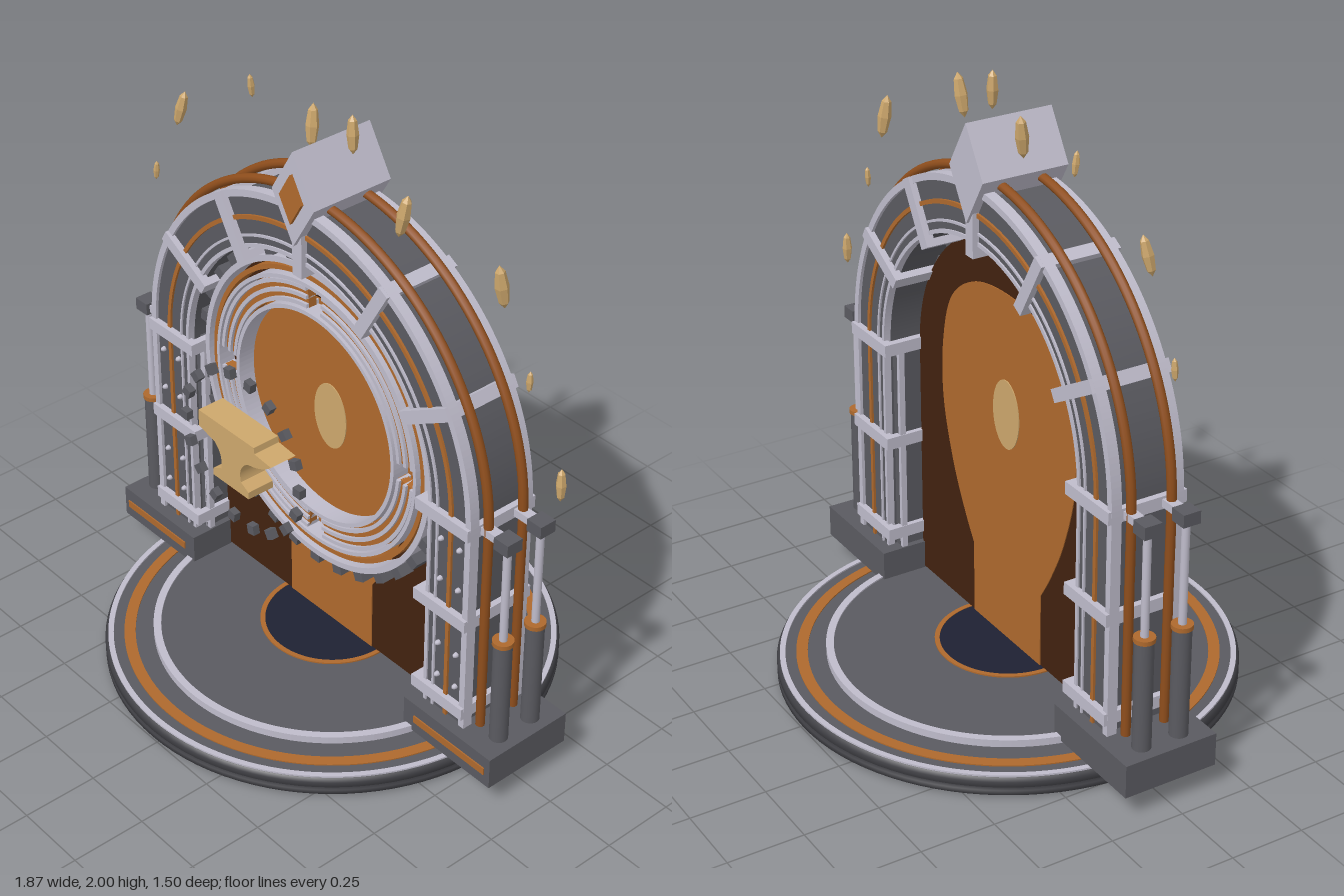
import * as THREE from 'three';

const mat = (name, color) => {
  const m = new THREE.MeshStandardMaterial({ color });
  m.name = name;
  return m;
};
const V2 = (x, y) => new THREE.Vector2(x, y);
const CY = 0.935; // height of the arch centre

export function createModel() {
  const iron = mat('iron grey', 0x5a5a60);
  const charcoal = mat('charcoal', 0x404045);
  const steel = mat('pale steel', 0xbfbccb);
  const copper = mat('copper', 0xae692d);
  const pipeCopper = mat('dark copper', 0x8f4e1c);
  const umber = mat('portal brown', 0x42220f);
  const gold = mat('pale gold', 0xcda76c);
  const navy = mat('navy', 0x1e2133);

  const root = new THREE.Group();
  root.name = 'forgePortal';
  root.position.x = -0.022;

  const add = (name, geo, m, x = 0, y = 0, z = 0, parent = root) => {
    const mesh = new THREE.Mesh(geo, m);
    mesh.name = name;
    mesh.position.set(x, y, z);
    parent.add(mesh);
    return mesh;
  };
  const box = (name, m, w, h, d, x, y, z, parent) =>
    add(name, new THREE.BoxGeometry(w, h, d), m, x, y, z, parent);
  const cyl = (name, m, r, y0, y1, x = 0, z = 0, seg = 20) =>
    add(name, new THREE.CylinderGeometry(r, r, y1 - y0, seg), m, x, (y0 + y1) / 2, z);
  // extrusion centred on z
  const slab = (name, m, shape, depth, y = 0, z = 0) => {
    const geo = new THREE.ExtrudeGeometry(shape, { depth, bevelEnabled: false, curveSegments: 64 });
    return add(name, geo, m, 0, y, z - depth / 2);
  };
  const ringShape = (r0, r1) => {
    const s = new THREE.Shape().absarc(0, 0, r1, 0, Math.PI * 2, false);
    s.holes.push(new THREE.Path().absarc(0, 0, r0, 0, Math.PI * 2, true));
    return s;
  };
  const flatRing = (name, m, r0, r1, y, h) => {
    const mesh = slab(name, m, ringShape(r0, r1), h);
    mesh.rotation.x = -Math.PI / 2;
    mesh.position.set(0, y, 0);
  };
  // strip running up one leg, over the arch and down the other
  const archShape = (r0, r1, y0) => {
    const s = new THREE.Shape();
    s.moveTo(r1, y0);
    s.lineTo(r1, CY);
    s.absarc(0, CY, r1, 0, Math.PI, false);
    s.lineTo(-r1, y0);
    s.lineTo(-r0, y0);
    s.lineTo(-r0, CY);
    s.absarc(0, CY, r0, Math.PI, 0, true);
    s.lineTo(r0, y0);
    return s;
  };

  // Round base
  const baseProfile = [[0, 0], [0.735, 0], [0.75, 0.008], [0.75, 0.024], [0.74, 0.03], [0.75, 0.036],
    [0.75, 0.054], [0.743, 0.066], [0.735, 0.066]].map(p => V2(...p));
  add('baseRim', new THREE.LatheGeometry(baseProfile, 96), charcoal);
  cyl('baseTop', iron, 0.738, 0.05, 0.067, 0, 0, 96);
  flatRing('baseEdgeRing', steel, 0.722, 0.74, 0.064, 0.008);
  flatRing('baseCopperRing', copper, 0.65, 0.687, 0.064, 0.007);
  cyl('baseDais', iron, 0.585, 0.06, 0.09, 0, 0, 96);
  flatRing('daisEdgeRing', steel, 0.565, 0.59, 0.07, 0.025);
  flatRing('wellRing', copper, 0.222, 0.238, 0.088, 0.007);
  cyl('well', navy, 0.222, 0.085, 0.093, 0, 0, 64);

  // Arch body with raised trims on both faces
  slab('archBody', iron, archShape(0.575, 0.737, 0.15), 0.23);
  for (const s of [1, -1]) {
    slab('archOuterTrim', steel, archShape(0.735, 0.758, 0.15), 0.035, 0, s * 0.108);
    slab('archInnerTrim', steel, archShape(0.57, 0.583, 0.15), 0.025, 0, s * 0.108);
    slab('archSeam', steel, archShape(0.606, 0.614, 0.15), 0.01, 0, s * 0.116);
    slab('archCopperLine', copper, archShape(0.662, 0.676, 0.15), 0.012, 0, s * 0.117);

    // Copper pipe following the arch
    const pts = [[0.775, 0.19], [0.775, 0.45], [0.775, 0.7]].map(p => new THREE.Vector3(...p, 0));
    const tail = pts.map(p => new THREE.Vector3(-p.x, p.y, 0)).reverse();
    for (let i = 0; i <= 24; i++) {
      const a = i / 24 * Math.PI;
      pts.push(new THREE.Vector3(0.775 * Math.cos(a), CY + 0.775 * Math.sin(a), 0));
    }
    const path = new THREE.CatmullRomCurve3([...pts, ...tail]);
    add('archPipe', new THREE.TubeGeometry(path, 120, 0.015, 10), pipeCopper, 0, 0, s * 0.07);
  }

  // Clamps round the arch and the legs
  const clamp = (x, y, angle) => {
    const g = new THREE.Group();
    g.name = 'clamp';
    g.position.set(x, y, 0);
    g.rotation.z = angle;
    root.add(g);
    for (const s of [1, -1]) {
      box('clampFace', steel, 0.225, 0.042, 0.03, 0.645, 0, s * 0.122, g);
      box('clampSide', steel, 0.025, 0.042, 0.25, 0.645 + s * 0.1, 0, 0, g);
    }
  };
  for (let i = 0; i <= 6; i++) clamp(0, CY, i * Math.PI / 6);
  for (const y of [0.25, 0.595]) {
    clamp(0, y, 0);
    clamp(0, y, Math.PI);
  }

  // Feet, inner leg strips, studs and pistons on each side
  for (const s of [1, -1]) {
    box('foot', iron, 0.385, 0.112, 0.325, s * 0.722, 0.134, 0);
    box('footInlay', copper, 0.315, 0.026, 0.008, s * 0.735, 0.132, 0.163);
    box('legInnerPanel', iron, 0.03, 0.74, 0.17, s * 0.565, 0.56, 0);
    for (const z of [0.075, -0.075])
      box('legInnerStrip', steel, 0.022, 0.74, 0.02, s * 0.546, 0.56, z);
    for (const x of [0.629, 0.708])
      for (const y of [0.325, 0.45, 0.7, 0.85]) {
        const stud = add('stud', new THREE.SphereGeometry(0.009, 8, 6), steel, s * x, y, 0.117);
        stud.scale.z = 1.6;
      }
    for (const z of [0.067, -0.067]) {
      const x = s * 0.853;
      cyl('pistonBarrel', iron, 0.03, 0.18, 0.562, x, z);
      cyl('pistonCollar', copper, 0.034, 0.56, 0.575, x, z);
      cyl('pistonRod', steel, 0.013, 0.57, 0.93, x, z, 14);
      box('pistonHead', iron, 0.058, 0.042, 0.06, x, 0.935, z);
      box('pistonBracket', steel, 0.1, 0.026, 0.035, s * 0.79, 0.935, z);
    }
  }

  // Keystone
  const diamond = (w, h) => new THREE.Shape([V2(w, 0), V2(0, h), V2(-w, 0), V2(0, -h)]);
  slab('keystone', steel, diamond(0.095, 0.157), 0.297, 1.735, 0.002);
  slab('keystoneGem', copper, diamond(0.049, 0.082), 0.012, 1.738, 0.156);

  // Portal sheet with its glowing shape
  const door = new THREE.Shape();
  door.moveTo(-0.54, 0.095);
  door.lineTo(0.54, 0.095);
  door.lineTo(0.54, CY);
  door.absarc(0, CY, 0.54, 0, Math.PI, false);
  slab('portal', umber, door, 0.006);
  const right = [[0.26, 0.45], [0.33, 0.6], [0.385, 0.8], [0.385, 1.0], [0.33, 1.18], [0.19, 1.285]].map(p => V2(...p));
  const left = right.map(p => V2(-p.x, p.y)).reverse();
  const glow = new THREE.Shape();
  glow.moveTo(-0.2, 0.095);
  glow.lineTo(0.2, 0.095);
  glow.lineTo(0.2, 0.35);
  glow.splineThru([...right, V2(0, 1.315), ...left, V2(-0.2, 0.35)]);
  slab('portalGlow', copper, glow, 0.012);
  const core = new THREE.Shape().absellipse(0, 0.905, 0.075, 0.118, 0, Math.PI * 2, false, 0);
  slab('portalCore', gold, core, 0.018);

  // Toothed wheel of nested rings
  const wheel = [['wheelRim', steel, 0.512, 0.532, 0.06], ['wheelCopperRing', copper, 0.484, 0.5, 0.04],
    ['wheelMidRing', steel, 0.46, 0.473, 0.06], ['wheelInnerRing', steel, 0.36, 0.374, 0.06]];
  for (const [name, m, r0, r1, d] of wheel) slab(name, m, ringShape(r0, r1), d, CY, 0.05);
  for (let q = 0; q < 4; q++) {
    const segment = (name, m, r0, r1, d) => {
      const a0 = q * Math.PI / 2 + 0.08, a1 = (q + 1) * Math.PI / 2 - 0.08;
      const s = new THREE.Shape();
      s.absarc(0, 0, r1, a0, a1, false);
      s.absarc(0, 0, r0, a1, a0, true);
      slab(name, m, s, d, CY, 0.05);
    };
    segment('wheelPlate', copper, 0.38, 0.455, 0.03);
    for (const r of [0.382, 0.412, 0.442]) segment('wheelArc', steel, r, r + 0.013, 0.05);
  }
  for (let i = 0; i < 32; i++) {
    const a = i * Math.PI / 16;
    box('wheelTooth', iron, 0.04, 0.04, 0.05, 0.547 * Math.cos(a), CY + 0.547 * Math.sin(a), 0.05).rotation.z = a;
  }

  // Floating anvil and its halo of blocks
  const anvil = new THREE.Shape();
  anvil.moveTo(-0.15, 1.033);
  anvil.lineTo(0.115, 1.033);
  anvil.lineTo(0.118, 1.012);
  anvil.lineTo(0.195, 1.004);
  anvil.quadraticCurveTo(0.15, 0.965, 0.085, 0.955);
  anvil.quadraticCurveTo(0.035, 0.925, 0.05, 0.87);
  anvil.lineTo(0.085, 0.85);
  anvil.lineTo(0.085, 0.825);
  anvil.lineTo(-0.085, 0.825);
  anvil.lineTo(-0.085, 0.85);
  anvil.lineTo(-0.045, 0.87);
  anvil.quadraticCurveTo(-0.035, 0.925, -0.075, 0.955);
  anvil.lineTo(-0.15, 0.975);
  slab('anvil', gold, anvil, 0.095, 0, 0.36);
  for (let i = 0; i < 18; i++) {
    const a = i * Math.PI / 9;
    box('haloBlock', iron, 0.032, 0.03, 0.024, 0.27 * Math.cos(a), CY + 0.27 * Math.sin(a), 0.362).rotation.z = a;
  }

  // Floating shards: x, y, z, height, tilt
  const shards = [[-0.858, 1.415, 0.005, 0.07, -0.1], [-0.708, 1.7, 0.01, 0.125, -0.25],
    [-0.413, 1.88, -0.035, 0.08, 0.1], [-0.123, 1.865, -0.03, 0.14, -0.15], [0.097, 1.937, 0.005, 0.126, -0.05],
    [0.387, 1.82, 0.07, 0.145, 0.2], [0.677, 1.68, -0.04, 0.145, -0.15], [0.807, 1.43, -0.035, 0.07, 0.05],
    [0.937, 1.135, -0.05, 0.11, 0.05]];
  shards.forEach(([x, y, z, h, tilt], i) => {
    const geo = new THREE.SphereGeometry(0.5, 6, 4).toNonIndexed();
    geo.scale(h * 0.3, h, h * 0.3);
    geo.computeVertexNormals();
    add('shard', geo, gold, x, y, z).rotation.set(0, i * 0.7, tilt);
  });

  return root;
}
